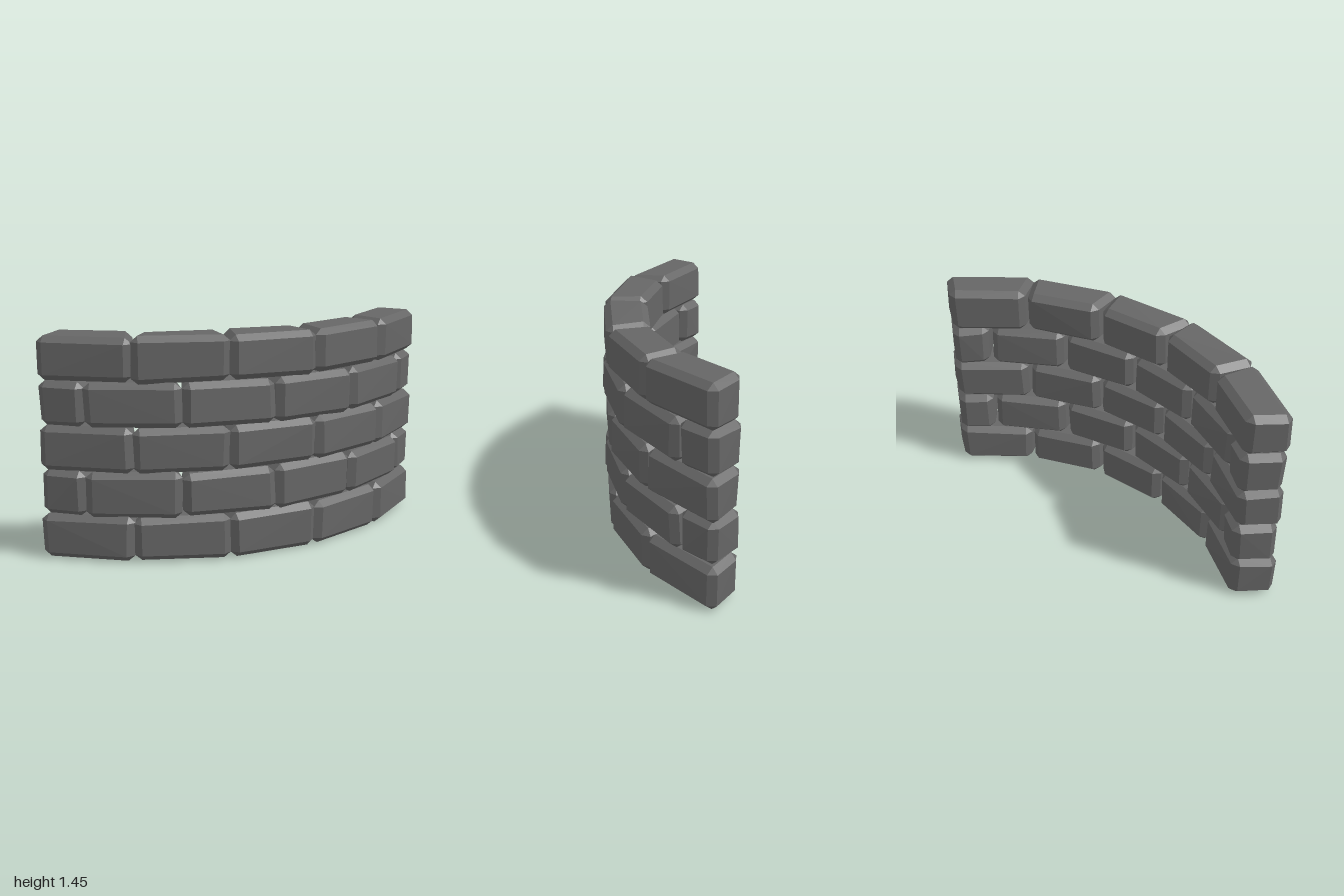
import * as THREE from 'three';
import { ConvexGeometry } from 'three/addons/geometries/ConvexGeometry.js';

const ROWS = 5;
const ROW_HEIGHT = 0.288;
const RADIUS = 1.82;        // arc centre to the middle of a brick
const DEPTH = 0.29;
const STEP = Math.PI / 10;  // angle covered by one full brick

// small seeded generator for the rough-cut corners
function makeRandom(seed) {
  let s = seed;
  return () => {
    s = (s * 16807) % 2147483647;
    return s / 2147483647;
  };
}

// wedge-shaped brick with bevelled edges and slightly uneven corners
function brickGeometry(angle, random) {
  const points = [];
  const jitter = (amount) => (random() - 0.5) * amount;
  const bevel = 0.045;
  for (const sx of [-1, 1]) for (const sy of [-1, 1]) for (const sz of [-1, 1]) {
    const z = sz * DEPTH / 2 + jitter(0.012);
    const x = sx * ((RADIUS + z) * Math.tan(angle / 2) - 0.006) + jitter(0.012);
    const y = sy * 0.145 + jitter(0.014);
    // three points cut each corner
    for (let axis = 0; axis < 3; axis++) {
      points.push(new THREE.Vector3(
        x - (axis === 0 ? 0 : sx * bevel),
        y - (axis === 1 ? 0 : sy * bevel * 0.85),
        z - (axis === 2 ? 0 : sz * bevel)
      ));
    }
  }
  return new ConvexGeometry(points);
}

export function createModel() {
  const model = new THREE.Group();
  model.name = 'curvedBrickWall';
  const stone = new THREE.MeshStandardMaterial({ color: 0x666666 });
  stone.name = 'grey stone';
  const random = makeRandom(4217);

  for (let row = 0; row < ROWS; row++) {
    const course = new THREE.Group();
    course.name = `brickRow${row + 1}`;
    // alternate rows start and end with a half brick
    const spans = row % 2 ? [0.5, 1, 1, 1, 1, 0.5] : [1, 1, 1, 1, 1];
    let start = 0;
    for (const span of spans) {
      const angle = span * STEP;
      const middle = start + angle / 2;
      const brick = new THREE.Mesh(brickGeometry(angle, random), stone);
      brick.name = span === 1 ? 'brick' : 'halfBrick';
      brick.position.set(
        -1 + RADIUS * Math.sin(middle),
        0.152 + row * ROW_HEIGHT,
        -0.98 + RADIUS * Math.cos(middle)
      );
      brick.rotation.y = middle;
      course.add(brick);
      start += angle;
    }
    model.add(course);
  }

  // centre the wall and stand it on the ground
  const box = new THREE.Box3().setFromObject(model, true);
  const centre = box.getCenter(new THREE.Vector3());
  for (const course of model.children) {
    course.position.set(-centre.x, -box.min.y, -centre.z);
  }
  return model;
}
